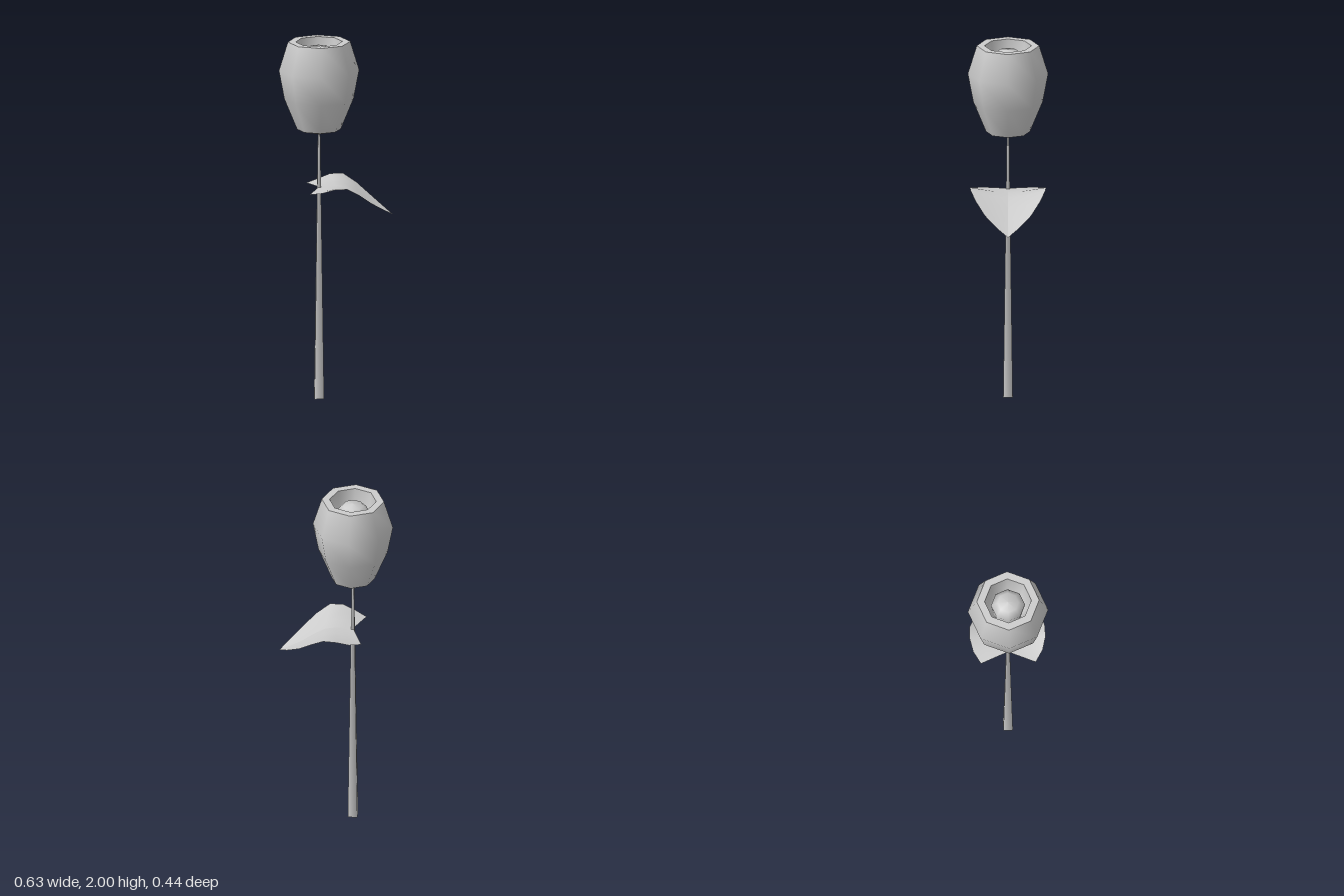
import * as THREE from 'three';

const STEM_X = -0.094;

const material = () => new THREE.MeshStandardMaterial({ color: 0xcccccc, side: THREE.DoubleSide });

function add(parent, name, geometry) {
  const mesh = new THREE.Mesh(geometry, material());
  mesh.name = name;
  parent.add(mesh);
  return mesh;
}

// Eight-sided turned section; separate sections keep a sharp edge between them
function turned(parent, name, profile) {
  const points = profile.map(([r, y]) => new THREE.Vector2(r, y));
  return add(parent, name, new THREE.LatheGeometry(points, 8));
}

// One half of the leaf, from the midrib out to the edge; side is +1 or -1 in z
function leafHalf(side) {
  // midrib x, midrib y, edge x, edge y, edge z
  const rows = [
    [-0.095, 1.185, -0.155, 1.175, 0.15],
    [-0.05, 1.187, -0.09, 1.19, 0.19],
    [0.0, 1.187, -0.02, 1.213, 0.208],
    [0.06, 1.175, 0.05, 1.215, 0.205],
    [0.12, 1.14, 0.12, 1.172, 0.175],
    [0.19, 1.09, 0.19, 1.115, 0.128],
    [0.26, 1.052, 0.26, 1.062, 0.06],
    [0.312, 1.025, 0.312, 1.025, 0],
  ];
  const steps = 3;
  const positions = [];
  const index = [];
  for (const [mx, my, ex, ey, ez] of rows) {
    for (let j = 0; j <= steps; j++) {
      const t = j / steps;
      positions.push(mx + (ex - mx) * t, my + (ey - my) * Math.pow(t, 1.3), side * ez * t);
    }
  }
  for (let i = 0; i < rows.length - 1; i++) {
    for (let j = 0; j < steps; j++) {
      const a = i * (steps + 1) + j, b = a + 1, c = a + steps + 1, d = c + 1;
      if (side > 0) index.push(a, b, c, b, d, c);
      else index.push(a, c, b, b, c, d);
    }
  }
  const geometry = new THREE.BufferGeometry();
  geometry.setAttribute('position', new THREE.Float32BufferAttribute(positions, 3));
  geometry.setIndex(index);
  geometry.computeVertexNormals();
  return geometry;
}

export function createModel() {
  const model = new THREE.Group();
  model.name = 'flower';

  // Bloom: base cone, outer petals, flat rim, inner cup and bud
  const bloom = new THREE.Group();
  bloom.name = 'bloom';
  bloom.position.x = STEM_X;
  model.add(bloom);
  turned(bloom, 'bloomBase', [[0, 1.48], [0.12, 1.51]]);
  turned(bloom, 'outerPetals', [[0.12, 1.51], [0.19, 1.68], [0.22, 1.84], [0.171, 2]]);
  turned(bloom, 'petalRim', [[0.171, 2], [0.128, 2]]);
  turned(bloom, 'innerCup', [[0.128, 2], [0.115, 1.88], [0.08, 1.82]]);
  turned(bloom, 'bud', [[0.08, 1.82], [0.093, 1.93], [0.057, 1.97], [0, 1.98]]);

  // Square tapering stem
  const stemHeight = 1.49;
  const stem = new THREE.CylinderGeometry(0.006 * Math.SQRT2, 0.026 * Math.SQRT2, stemHeight, 4);
  stem.rotateY(Math.PI / 4);
  stem.translate(STEM_X, stemHeight / 2, 0);
  add(model, 'stem', stem);

  // Leaf folded along its midrib
  const leaf = new THREE.Group();
  leaf.name = 'leaf';
  model.add(leaf);
  add(leaf, 'leafFrontHalf', leafHalf(1));
  add(leaf, 'leafBackHalf', leafHalf(-1));

  return model;
}
